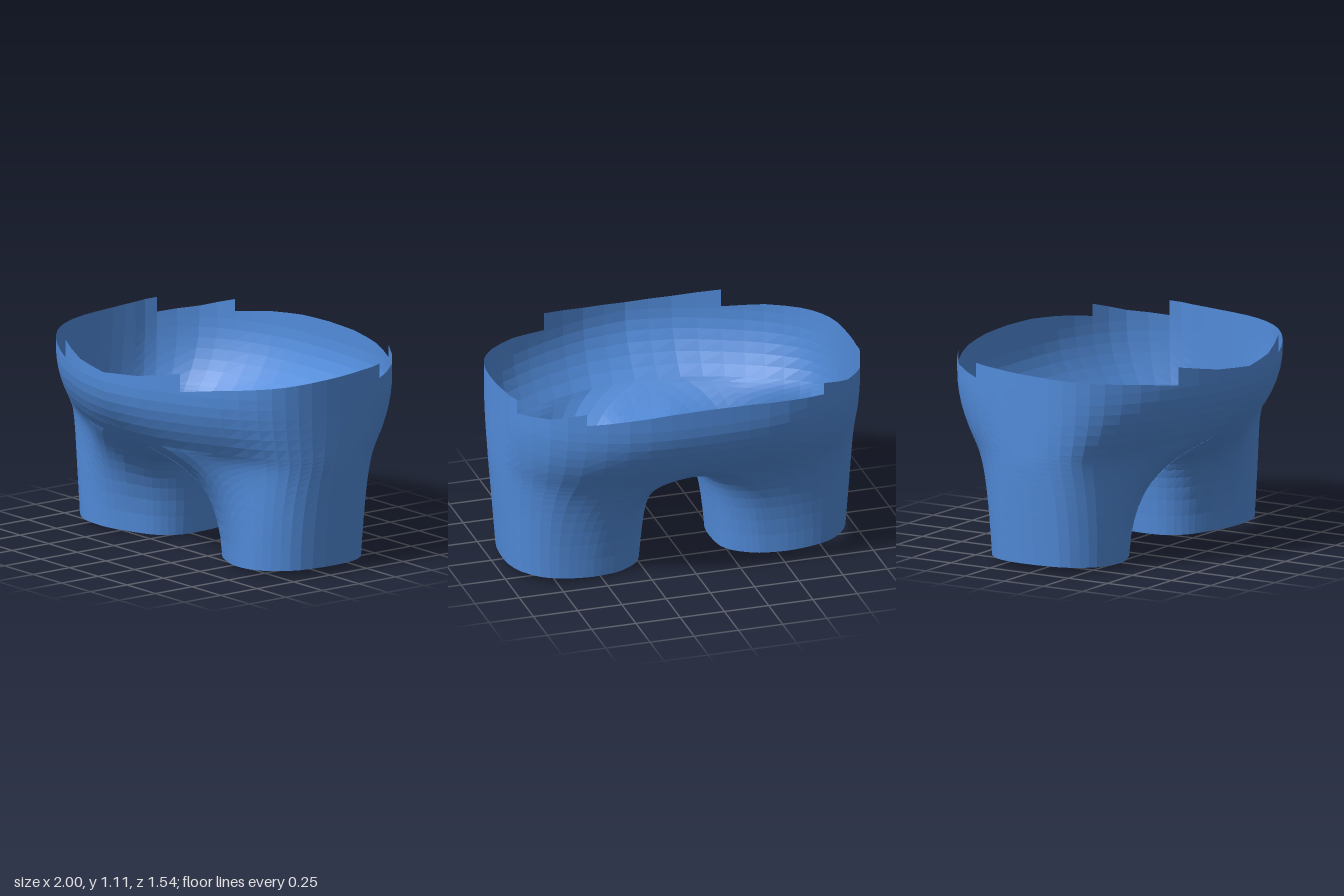
import * as THREE from 'three';

// Columns under the waist. Each: hem x, z | hip x, z | waist x, z (front centre round to back centre)
const SIDE_KEYS = [
  [.42, .26, 0, .585, 0, .77], [.50, .295, .25, .57, .25, .73], [.585, .32, .48, .50, .50, .635],
  [.70, .325, .68, .41, .71, .53], [.79, .30, .85, .325, .87, .40], [.87, .24, .945, .235, .955, .27],
  [.93, .15, .99, .11, .993, .12], [.955, 0, 1, -.04, 1, -.08], [.95, -.15, .985, -.20, .99, -.23],
  [.91, -.26, .94, -.33, .97, -.36], [.83, -.345, .83, -.46, .84, -.55], [.74, -.385, .68, -.55, .67, -.66],
  [.64, -.40, .45, -.60, .45, -.74], [.55, -.40, .22, -.61, .22, -.77], [.47, -.385, 0, -.61, 0, -.775],
];
// Columns ending at the centre seam. Each: hem x, z | seam y, z (back to front)
const SEAM_KEYS = [
  [.40, -.365, .60, -.53], [.34, -.33, .545, -.43], [.28, -.28, .505, -.33],
  [.23, -.20, .475, -.20], [.215, -.07, .46, -.05], [.22, .05, .462, .12],
  [.25, .13, .475, .25], [.30, .19, .505, .37], [.36, .23, .575, .48],
];
const WAIST = SIDE_KEYS.length - 1, N = SIDE_KEYS.length + SEAM_KEYS.length;
const HIP_Y = .66, TOP_Y = 1, SUB = 2, LEG_ROWS = 12, HIP_ROWS = 6;

const V = (x, y, z) => new THREE.Vector3(x, y, z);
const spline = (points, closed = false) => new THREE.CatmullRomCurve3(points, closed, 'catmullrom', 0.5);

const hemLoop = spline([...SIDE_KEYS, ...SEAM_KEYS].map(([x, z]) => V(x, .05 * (x - .21), z)), true);
const hipLine = spline(SIDE_KEYS.map((k) => V(k[2], HIP_Y, k[3])));
const waistLine = spline(SIDE_KEYS.map((k) => V(k[4], TOP_Y, k[5])));
const seamLine = spline([
  hipLine.points[WAIST], ...SEAM_KEYS.map((k) => V(0, k[2], k[3])), hipLine.points[0],
]);

// Point that sets the swell between hip and waist
function swell(s) {
  const p = waistLine.getPoint(s / WAIST);
  p.y = .83;
  return p;
}

// Leg column: rises from the hem, then bends to the hip line or across to the seam
function legColumn(s) {
  const hem = hemLoop.getPoint((s % N) / N);
  const onSide = s <= WAIST;
  const end = onSide ? hipLine.getPoint(s / WAIST) : seamLine.getPoint((s - WAIST) / (N - WAIST));
  const rise = V(hem.x + .1 * (hem.x - .59), hem.y + .46, hem.z + .06 * (hem.z + .03));
  const h = Math.max(0, (end.y - .46) / (HIP_Y - .46));
  const lean = onSide ? swell(s).sub(end) : V(0, .17, .175 * Math.sign(end.z)).multiplyScalar(h * h);
  const arrive = end.clone().addScaledVector(lean, -.55);
  const d = onSide ? Math.min(s, WAIST - s) : 0;
  arrive.x += (.15 + .12 * h) * Math.max(0, 1 - d / 2.5);
  return new THREE.CubicBezierCurve3(hem, rise, arrive, end).getPoints(LEG_ROWS);
}

// Hip column: swells outward from the hip line to the waist
const hipColumn = (s) => new THREE.QuadraticBezierCurve3(
  hipLine.getPoint(s / WAIST), swell(s), waistLine.getPoint(s / WAIST)).getPoints(HIP_ROWS);

// Faceted sheet from a list of columns; side -1 mirrors it
function sheet(columns, side) {
  const pos = [];
  const put = (...pts) => pts.forEach((p) => pos.push(p.x * side, p.y, p.z));
  const tri = (a, b, c) => (side > 0 ? put(a, b, c) : put(a, c, b));
  for (let i = 0; i < columns.length - 1; i++) {
    const a = columns[i], b = columns[i + 1];
    for (let j = 0; j < a.length - 1; j++) {
      tri(a[j], b[j], b[j + 1]);
      tri(a[j], b[j + 1], a[j + 1]);
    }
  }
  const g = new THREE.BufferGeometry();
  g.setAttribute('position', new THREE.Float32BufferAttribute(pos, 3));
  g.computeVertexNormals();
  return g;
}

// Stepped waist edge: each panel lists [column, height]
const RIM = [
  [[0, 1.05], [1, 1.07], [2, 1.115]],
  [[2, 1.015], [3, 1.045], [4, 1.06], [7, 1.09], [9, 1.112]],
  [[9, 1.03], [10, 1.06], [11, 1.112]],
  [[11, 1.045], [12, 1.075], [13, 1.095], [14, 1.1]],
];

function rimColumns(panel) {
  const cols = [];
  for (let k = 0; k < panel.length - 1; k++) {
    const [s0, y0] = panel[k], [s1, y1] = panel[k + 1];
    const n = (s1 - s0) * SUB;
    for (let i = k ? 1 : 0; i <= n; i++) {
      const low = waistLine.getPoint((s0 + i / SUB) / WAIST), high = low.clone();
      high.y = y0 + (y1 - y0) * i / n;
      cols.push([low, high]);
    }
  }
  return cols;
}

export function createModel() {
  const group = new THREE.Group();
  group.name = 'shorts';
  const fabric = new THREE.MeshStandardMaterial({ color: 0x528cdb, side: THREE.DoubleSide });
  fabric.name = 'blue fabric';
  const add = (name, geometry) => {
    const m = new THREE.Mesh(geometry, fabric);
    m.name = name;
    group.add(m);
  };

  const columns = (count, fn) => Array.from({ length: count * SUB + 1 }, (_, i) => fn(i / SUB));
  const leg = columns(N, legColumn), hip = columns(WAIST, hipColumn);
  for (const [side, label] of [[1, 'left'], [-1, 'right']]) {
    add(label + 'Leg', sheet(leg, side));
    add(label + 'Hip', sheet(hip, side));
    RIM.forEach((panel, i) => add(label + 'WaistEdge' + (i + 1), sheet(rimColumns(panel), side)));
  }
  return group;
}
